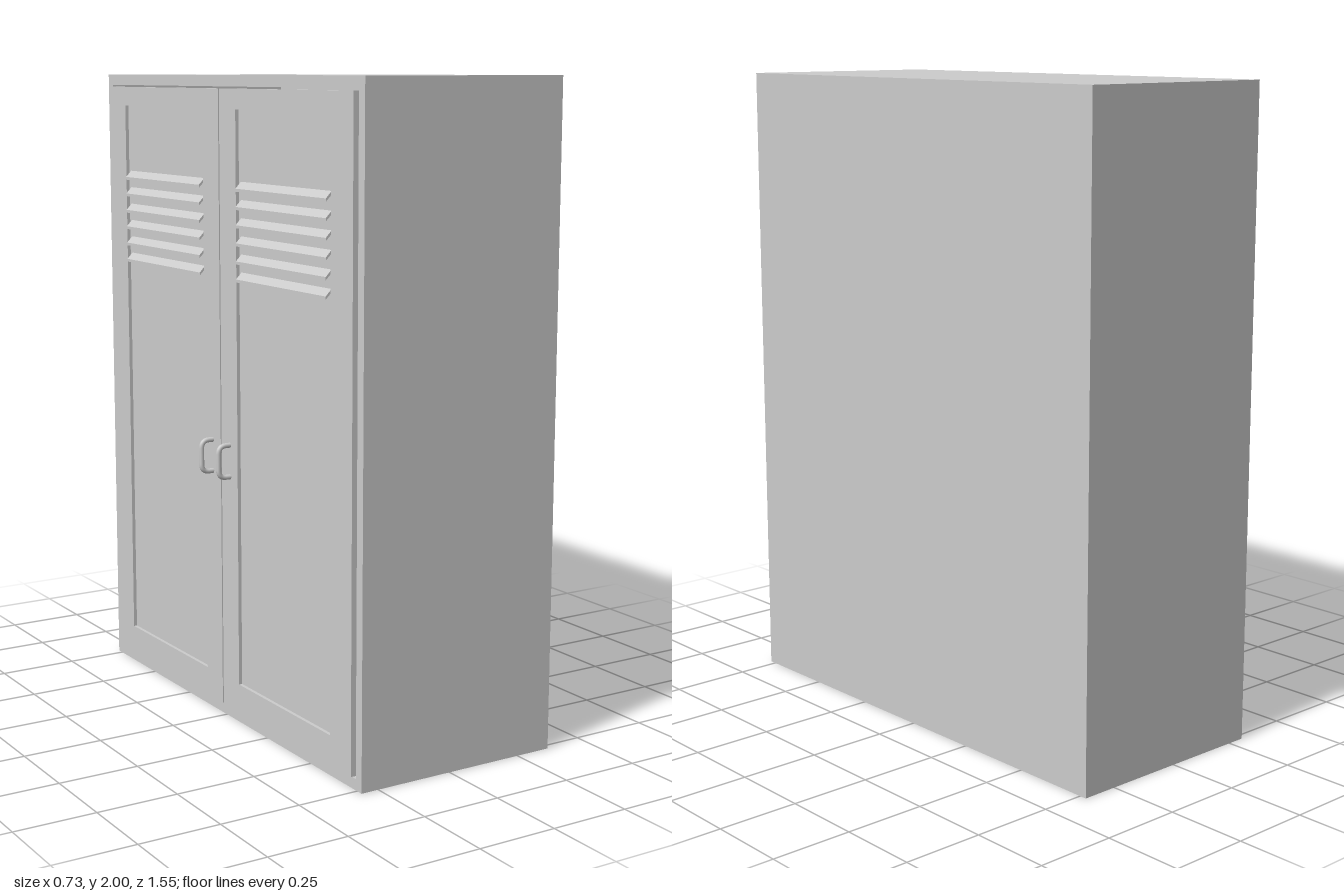
import * as THREE from 'three';

const material = new THREE.MeshStandardMaterial({ color: 0xcccccc });

function rect(z0, y0, z1, y1, Kind = THREE.Shape) {
  return new Kind([[z0, y0], [z1, y0], [z1, y1], [z0, y1]].map(([z, y]) => new THREE.Vector2(z, y)));
}

// Extrudes a (z, y) outline from xBack towards -x, ending at xFront
function slab(shape, xBack, xFront) {
  const g = new THREE.ExtrudeGeometry(shape, { depth: xBack - xFront, bevelEnabled: false });
  return g.rotateY(-Math.PI / 2).translate(xBack, 0, 0);
}

function add(parent, name, geometry) {
  const mesh = new THREE.Mesh(geometry, material);
  mesh.name = name;
  parent.add(mesh);
  return mesh;
}

// One door; side = -1 or +1 along z
function createDoor(side) {
  const door = new THREE.Group();
  door.name = side < 0 ? 'rearDoor' : 'frontDoor';
  const span = (a, y0, b, y1, Kind) =>
    rect(Math.min(a * side, b * side), y0, Math.max(a * side, b * side), y1, Kind);

  // Raised frame around a recessed panel
  const frame = span(0.003, 0.04, 0.737, 1.96);
  frame.holes.push(span(0.101, 0.13, 0.626, 1.9, THREE.Path));
  add(door, 'doorFrame', slab(frame, -0.295, -0.32));
  add(door, 'doorPanel', slab(span(0.09, 0.12, 0.637, 1.91), -0.297, -0.309));

  // Six sloping louvre slats
  for (let i = 0; i < 6; i++) {
    const y = 1.394 + i * 0.054;
    const profile = new THREE.Shape([
      [-0.307, y + 0.016], [-0.328, y - 0.005], [-0.328, y + 0.004], [-0.307, y + 0.026],
    ].map(([x, py]) => new THREE.Vector2(x, py)));
    const slat = new THREE.ExtrudeGeometry(profile, { depth: 0.5, bevelEnabled: false });
    add(door, 'louvre', slat).position.z = side < 0 ? -0.613 : 0.113;
  }

  // Bent-bar pull handle with rounded corners
  const x0 = -0.315, x1 = -0.36, low = 0.783, high = 0.882, r = 0.025;
  const v = (x, y) => new THREE.Vector3(x, y, 0.054 * side);
  const path = new THREE.CurvePath();
  path.add(new THREE.LineCurve3(v(x0, low), v(x1 + r, low)));
  path.add(new THREE.QuadraticBezierCurve3(v(x1 + r, low), v(x1, low), v(x1, low + r)));
  path.add(new THREE.LineCurve3(v(x1, low + r), v(x1, high - r)));
  path.add(new THREE.QuadraticBezierCurve3(v(x1, high - r), v(x1, high), v(x1 + r, high)));
  path.add(new THREE.LineCurve3(v(x1 + r, high), v(x0, high)));
  add(door, 'handle', new THREE.TubeGeometry(path, 48, 0.008, 12));
  return door;
}

export function createModel() {
  const cabinet = new THREE.Group();
  cabinet.name = 'cabinet';

  // Carcass: four walls, open on the door side, closed by the back panel
  const walls = rect(-0.773, 0, 0.773, 2);
  walls.holes.push(rect(-0.743, 0.034, 0.743, 1.966, THREE.Path));
  add(cabinet, 'carcass', slab(walls, 0.345, -0.307));
  add(cabinet, 'backPanel', slab(rect(-0.773, 0, 0.773, 2), 0.365, 0.345));

  cabinet.add(createDoor(-1), createDoor(1));
  return cabinet;
}
